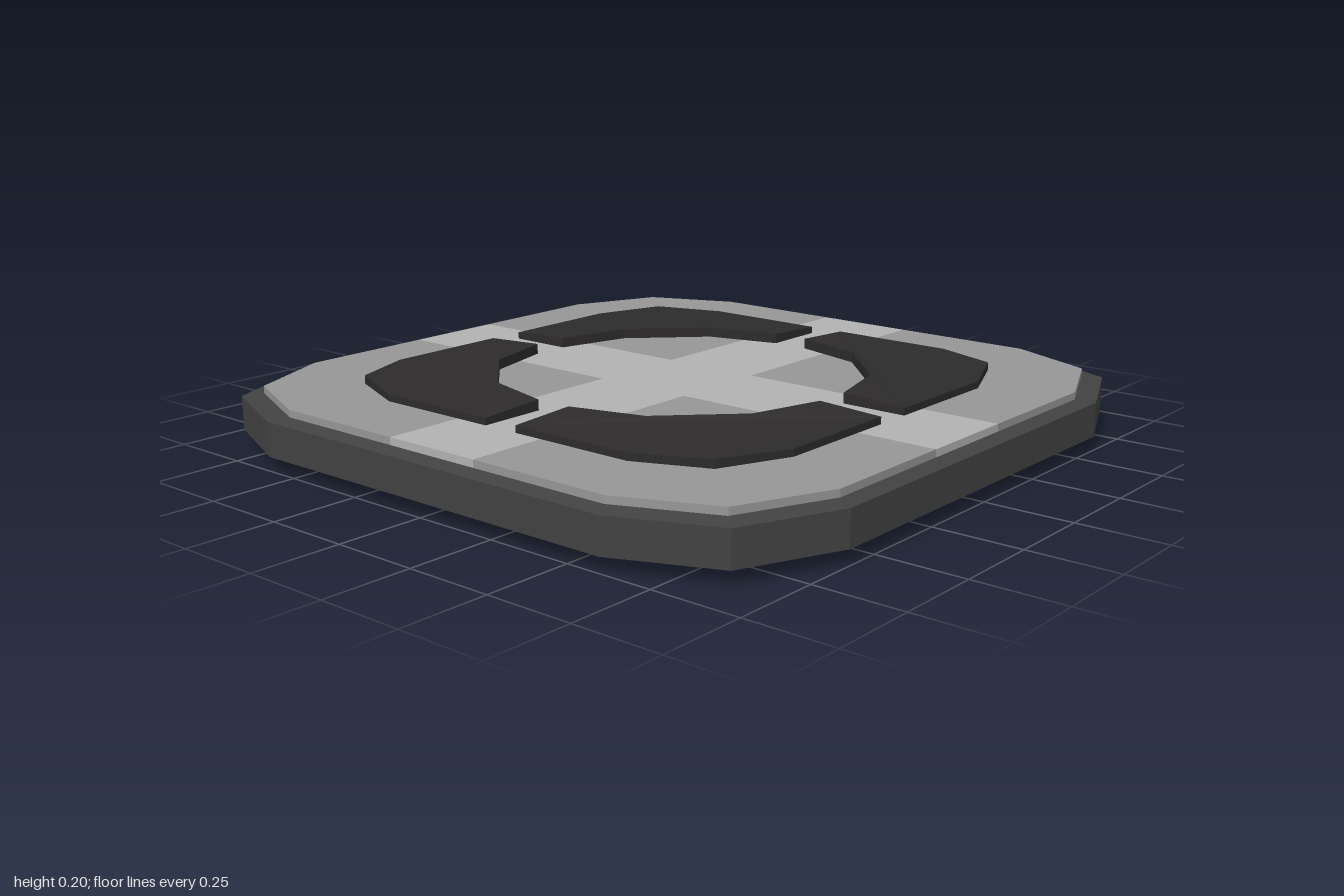
import * as THREE from 'three';

// Chamfered square: three points per corner, going round through all four corners
function outline(s) {
  const corner = [[1, 0.6], [0.88, 0.88], [0.6, 1]];
  const pts = [];
  for (let q = 0; q < 4; q++) {
    for (const [a, b] of corner) {
      let x = a * s, y = b * s;
      for (let k = 0; k < q; k++) [x, y] = [-y, x];
      pts.push([x, y]);
    }
  }
  return pts;
}

// Upright slab from a plan outline given as [x, z]
function slab(points, bottom, top) {
  const shape = new THREE.Shape(points.map(([x, z]) => new THREE.Vector2(x, -z)));
  const geo = new THREE.ExtrudeGeometry(shape, { depth: top - bottom, bevelEnabled: false });
  return geo.rotateX(-Math.PI / 2).translate(0, bottom, 0);
}

// Skin stacked rings [scale, y] from bottom to top, closing both ends
function loft(rings) {
  const pos = [], index = [], n = 12;
  for (const [s, y] of rings) for (const [x, v] of outline(s)) pos.push(x, y, -v);
  for (let r = 0; r < rings.length - 1; r++) {
    for (let i = 0; i < n; i++) {
      const a = r * n + i, b = r * n + (i + 1) % n;
      index.push(a, b, b + n, a, b + n, a + n);
    }
  }
  const last = (rings.length - 1) * n;
  for (let i = 1; i < n - 1; i++) {
    index.push(0, i + 1, i);
    index.push(last, last + i, last + i + 1);
  }
  const geo = new THREE.BufferGeometry();
  geo.setAttribute('position', new THREE.Float32BufferAttribute(pos, 3));
  geo.setIndex(index);
  geo.computeVertexNormals();
  return geo;
}

export function createModel() {
  const group = new THREE.Group();
  const mat = (color) => new THREE.MeshStandardMaterial({ color, flatShading: true });
  const bodyMat = mat(0x424242), plateMat = mat(0x969696);
  const crossMat = mat(0xb2b2b2), padMat = mat(0x2d2b2c);
  const add = (name, geo, material) => {
    const mesh = new THREE.Mesh(geo, material);
    mesh.name = name;
    group.add(mesh);
  };

  // Base tray with a shallow rounded underside
  add('base', loft([[0.4, 0], [0.72, 0.006], [0.89, 0.016], [1, 0.04], [1, 0.138], [0.95, 0.145]]), bodyMat);

  // Top plate: four corner panels around a lighter cross, all flush
  const lo = -0.16, hi = 0.143, e = 0.95, y0 = 0.14, y1 = 0.166;
  for (const sx of [-1, 1]) {
    for (const sz of [-1, 1]) {
      const cx = sx > 0 ? hi : lo, cz = sz > 0 ? hi : lo;
      const panel = [[cx, cz], [sx * e, cz], [sx * e, sz * 0.57], [sx * 0.836, sz * 0.836],
        [sx * 0.57, sz * e], [cx, sz * e]];
      add('cornerPanel', slab(panel, y0, y1), plateMat);
    }
  }
  add('cross', slab([[lo, -e], [hi, -e], [hi, lo], [e, lo], [e, hi], [hi, hi],
    [hi, e], [lo, e], [lo, hi], [-e, hi], [-e, lo], [lo, lo]], y0, y1), crossMat);

  // Four raised pads in a broken ring, tops falling slightly outward
  const pad = [[0.055, 0.72], [0.435, 0.72], [0.636, 0.636], [0.72, 0.435], [0.72, 0.055],
    [0.526, 0.055], [0.467, 0.272], [0.272, 0.467], [0.055, 0.526]];
  for (let q = 0; q < 4; q++) {
    const geo = slab(pad, 0.16, 0.196);
    const p = geo.attributes.position;
    for (let i = 0; i < p.count; i++) {
      const reach = Math.max(p.getX(i), p.getZ(i));
      if (p.getY(i) > 0.18) p.setY(i, 0.196 - 0.05 * Math.max(0, reach - 0.526));
    }
    geo.computeVertexNormals();
    geo.rotateY(q * Math.PI / 2);
    add('pad', geo, padMat);
  }
  return group;
}
